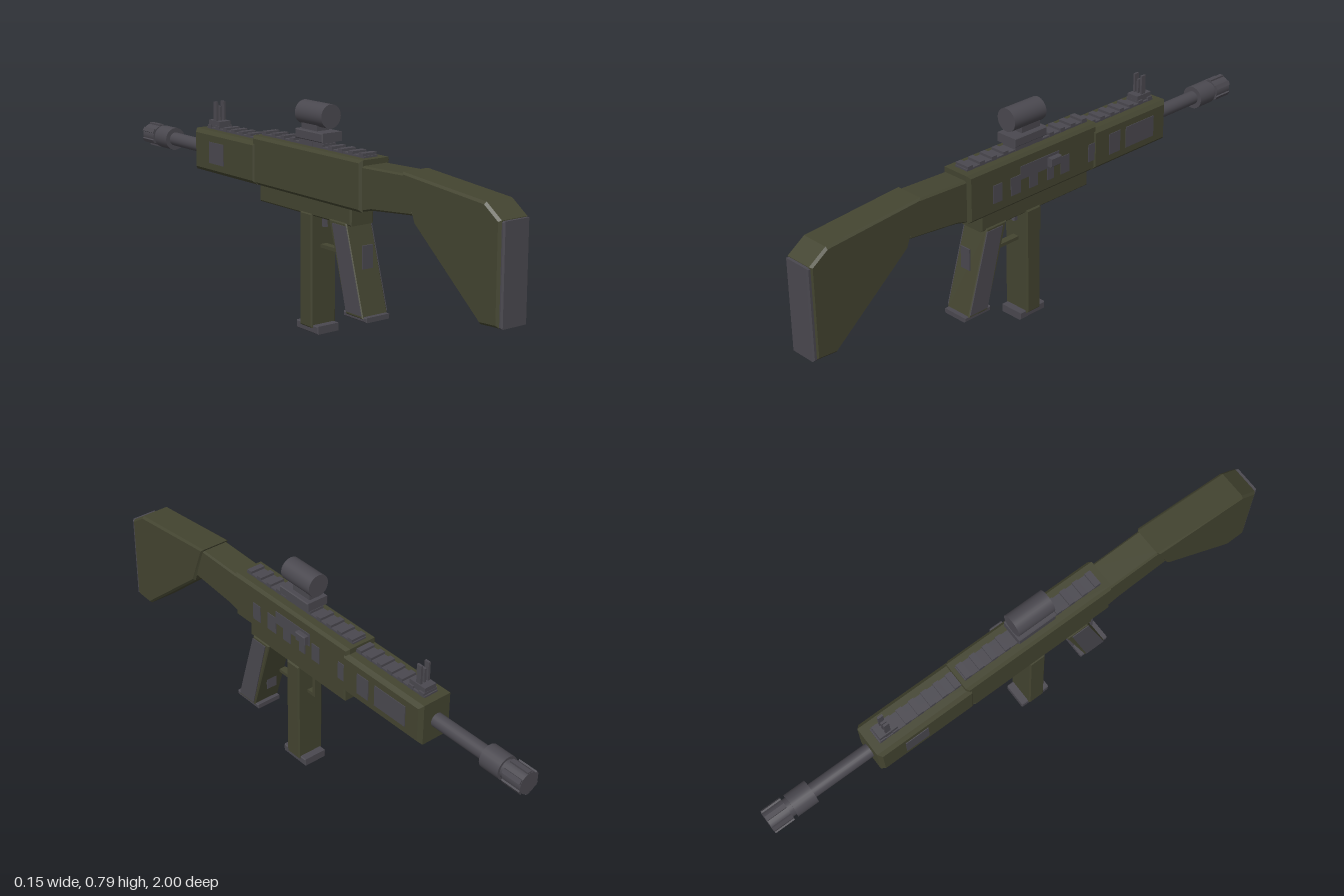
import * as THREE from 'three';

export function createModel() {
  const model = new THREE.Group();
  const CX = -0.01; // centre line of the body
  const make = (name, hex) => {
    const m = new THREE.MeshStandardMaterial({ color: hex });
    m.name = name;
    return m;
  };
  const green = make('olive green', 0x434430);
  const gray = make('gunmetal gray', 0x4a484f);

  const add = (name, geometry, material) => {
    const mesh = new THREE.Mesh(geometry, material);
    mesh.name = name;
    model.add(mesh);
    return mesh;
  };

  // Side profile of [z, y] points, extruded from x0 to x1 with chamfered edges
  const profile = (name, points, x0, x1, material, bevel = 0) => {
    const shape = new THREE.Shape(points.map(([z, y]) => new THREE.Vector2(z, y)));
    const geometry = new THREE.ExtrudeGeometry(shape, {
      depth: x1 - x0 - 2 * bevel, bevelEnabled: bevel > 0, bevelThickness: bevel,
      bevelSize: bevel, bevelOffset: -bevel, bevelSegments: 1,
    });
    geometry.rotateY(-Math.PI / 2).translate(x1 - bevel, 0, 0);
    return add(name, geometry, material);
  };

  // Box given by its limits
  const box = (name, x0, x1, y0, y1, z0, z1, material, bevel = 0) =>
    profile(name, [[z0, y0], [z1, y0], [z1, y1], [z0, y1]], x0, x1, material, bevel);

  // Round part along z
  const tube = (name, y, radius, z0, z1, sides = 24) => {
    const geometry = new THREE.CylinderGeometry(radius, radius, z1 - z0, sides);
    geometry.rotateX(Math.PI / 2).translate(CX, y, (z0 + z1) / 2);
    return add(name, geometry, gray);
  };

  // Stock
  profile('stock', [[0.99, 0.235], [0.99, 0.56], [0.925, 0.605], [0.55, 0.636],
    [0.61, 0.48], [0.91, 0.23]], -0.069, 0.05, green, 0.008);
  box('buttPad', -0.061, 0.045, 0.232, 0.558, 0.975, 1.0, gray, 0.005);
  profile('stockNeck', [[0.34, 0.47], [0.40, 0.485], [0.605, 0.505], [0.565, 0.63],
    [0.34, 0.623]], -0.063, 0.043, green, 0.006);

  // Receiver and handguard
  box('receiver', -0.071, 0.055, 0.47, 0.642, -0.245, 0.355, green, 0.01);
  box('handguard', -0.076, 0.06, 0.47, 0.622, -0.6, -0.22, green, 0.013);
  box('lowerReceiver', -0.058, 0.04, 0.412, 0.49, -0.215, 0.29, green, 0.005);

  // Right and left side inlays: [z0, z1, y0, y1]
  [[0.21, 0.25, 0.51, 0.575], [0.125, 0.17, 0.51, 0.575], [0.045, 0.085, 0.51, 0.56],
    [-0.055, 0.125, 0.555, 0.603], [-0.03, 0, 0.51, 0.56], [-0.105, -0.065, 0.51, 0.575],
    [-0.24, -0.2, 0.51, 0.575]].forEach(([z0, z1, y0, y1]) =>
    box('receiverInlay', 0.053, 0.0575, y0, y1, z0, z1, gray));
  [[-0.355, -0.3], [-0.53, -0.385]].forEach(([z0, z1]) =>
    box('handguardInlay', 0.057, 0.0625, 0.507, 0.585, z0, z1, gray));
  box('handguardInlay', -0.0785, -0.073, 0.507, 0.585, -0.5, -0.41, gray);
  box('boltHandle', 0.05, 0.075, 0.562, 0.594, -0.05, 0, gray, 0.003);

  // Top rails with cross ribs
  const rail = (name, z0, z1, y, ribs) => {
    box(name, -0.037, 0.019, y - 0.01, y + 0.008, z0, z1, gray);
    for (let i = 0; i < ribs; i++) {
      const z = z0 + 0.015 + (i * (z1 - z0 - 0.03)) / (ribs - 1);
      box(name + 'Rib', -0.038, 0.02, y, y + 0.017, z - 0.011, z + 0.011, gray);
    }
  };
  rail('rearRail', -0.23, 0.33, 0.64, 11);
  rail('frontRail', -0.57, -0.245, 0.62, 7);

  // Front sight: foot and three prongs
  box('frontSightFoot', -0.034, 0.014, 0.63, 0.653, -0.565, -0.495, gray);
  [-0.026, CX, 0.006].forEach((x, i) =>
    box('frontSightProng', x - 0.004, x + 0.004, 0.64, i === 1 ? 0.705 : 0.722, -0.54, -0.52, gray));

  // Scope on its mount
  box('scopeClamp', -0.037, 0.02, 0.643, 0.67, -0.01, 0.11, gray);
  box('scopeBase', -0.051, 0.035, 0.664, 0.696, -0.02, 0.13, gray, 0.003);
  box('scopeNeck', -0.034, 0.016, 0.69, 0.725, -0.005, 0.08, gray);
  tube('scope', 0.749, 0.041, -0.02, 0.125, 32);

  // Barrel and muzzle
  tube('barrel', 0.542, 0.025, -0.86, -0.58);
  tube('muzzleCollar', 0.542, 0.042, -0.91, -0.83);
  tube('muzzleGroove', 0.542, 0.033, -0.94, -0.9);
  tube('muzzleTip', 0.542, 0.038, -1.0, -0.925);
  for (let i = 0; i < 6; i++) {
    const a = (i * Math.PI) / 3 + Math.PI / 6;
    const fin = add('muzzleFin', new THREE.BoxGeometry(0.012, 0.016, 0.074), gray);
    fin.position.set(CX + Math.cos(a) * 0.037, 0.542 + Math.sin(a) * 0.037, -0.962);
    fin.rotation.z = a;
  }

  // Pistol grip with side panels
  profile('grip', [[0.36, 0.115], [0.27, 0.42], [0.18, 0.42], [0.272, 0.115]],
    -0.062, 0.045, green, 0.004);
  [[-0.065, -0.06], [0.043, 0.048]].forEach(([x0, x1]) =>
    profile('gripPanel', [[0.354, 0.125], [0.27, 0.41], [0.2, 0.41], [0.275, 0.125]], x0, x1, gray));
  box('gripBase', -0.058, 0.042, 0.105, 0.122, 0.255, 0.375, gray, 0.003);
  box('gripRearFin', -0.03, 0.012, 0.27, 0.35, 0.316, 0.321, gray);
  box('gripFrontFin', -0.03, 0.012, 0.19, 0.29, 0.237, 0.241, gray);

  // Magazine
  box('magazine', -0.062, 0.045, 0.02, 0.42, 0.02, 0.085, green, 0.005);
  box('magazineBase', -0.055, 0.038, 0.002, 0.03, -0.007, 0.112, gray, 0.003);
  box('magazineFoot', -0.047, 0.031, 0, 0.02, 0, 0.105, gray);

  // Trigger guard and trigger
  box('triggerGuardPost', -0.022, 0.004, 0.3, 0.42, -0.02, -0.006, green);
  box('triggerGuardBar', -0.022, 0.004, 0.298, 0.31, -0.02, 0.175, green);
  profile('trigger', [[0.09, 0.42], [0.07, 0.42], [0.085, 0.37], [0.1, 0.37]], -0.016, -0.002, gray);

  return model;
}
